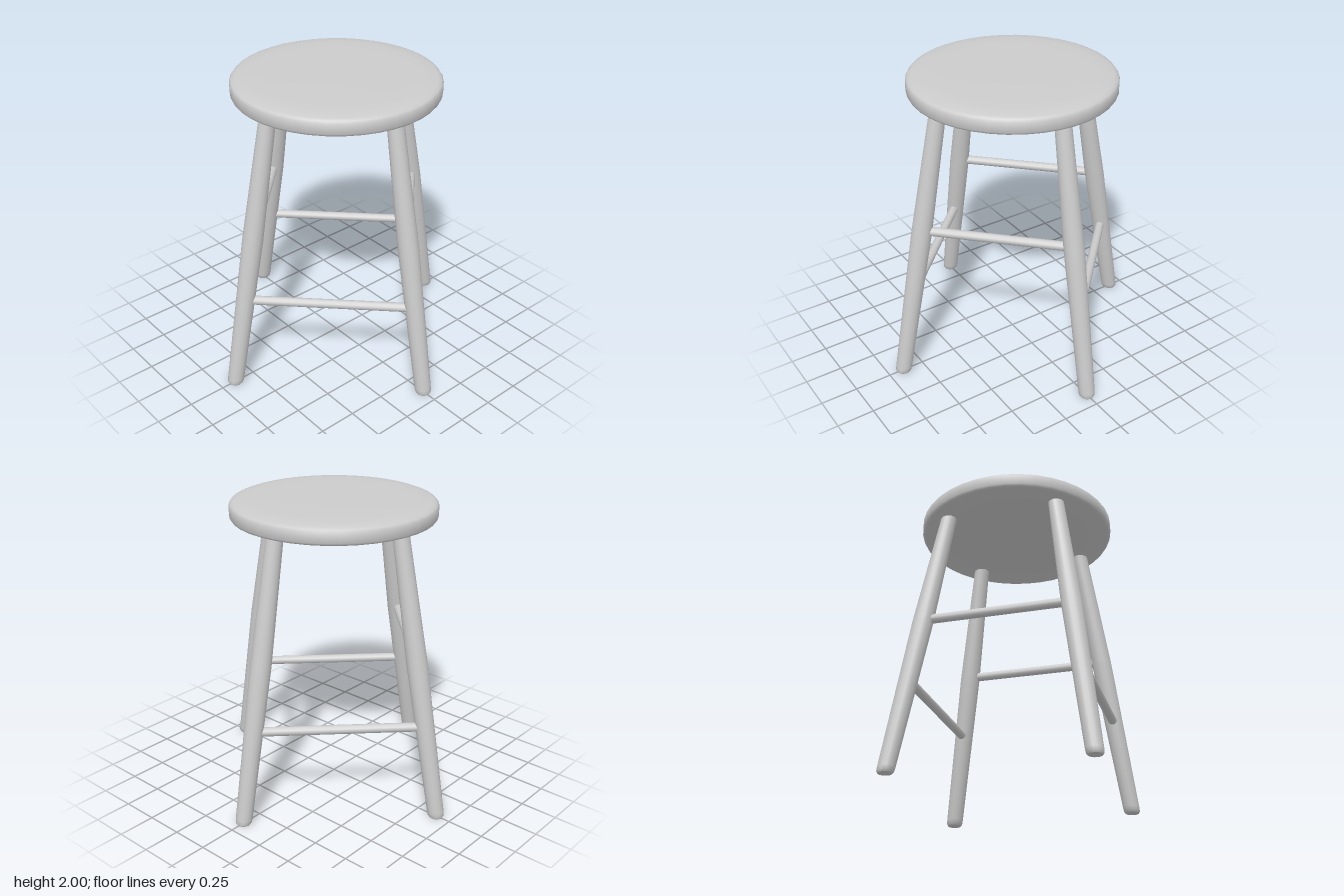
import * as THREE from 'three';
import { toCreasedNormals } from 'three/addons/utils/BufferGeometryUtils.js';

const material = new THREE.MeshStandardMaterial({ color: 0xcccccc });

// Leg axis: distance from the centre line at a given height
const FOOT = 0.895, TOP = 0.537, SEAT_Y = 1.88;
const slope = (TOP - FOOT) / SEAT_Y;
const legRadiusAt = (y) => FOOT + slope * y;

function lathe(points, segments) {
  const profile = points.map(([r, y]) => new THREE.Vector2(r, y));
  return new THREE.LatheGeometry(profile, segments);
}

function addMesh(parent, name, geometry) {
  const mesh = new THREE.Mesh(geometry, material);
  mesh.name = name;
  parent.add(mesh);
  return mesh;
}

export function createModel() {
  const stool = new THREE.Group();
  stool.name = 'stool';

  // Round seat with softened edges
  const seat = lathe([
    [0, SEAT_Y], [0.645, SEAT_Y], [0.66, 1.886], [0.668, 1.9],
    [0.668, 1.965], [0.658, 1.979], [0.635, 1.988], [0.55, 1.997], [0.45, 2], [0, 2],
  ], 40);
  addMesh(stool, 'seat', toCreasedNormals(seat, 0.7));

  // Splayed legs: turned profile, thickest in the middle, sheared outwards
  const legProfile = lathe([
    [0, 0], [0.045, 0], [0.053, 0.012], [0.055, 0.04],
    [0.068, 1.05], [0.053, SEAT_Y + 0.02], [0, SEAT_Y + 0.02],
  ], 16);
  legProfile.applyMatrix4(new THREE.Matrix4().set(
    1, slope, 0, FOOT,
    0, 1, 0, 0,
    0, 0, 1, 0,
    0, 0, 0, 1,
  ));
  const legGeometry = toCreasedNormals(legProfile, 0.7);
  ['leftLeg', 'backLeg', 'rightLeg', 'frontLeg'].forEach((name, i) => {
    addMesh(stool, name, legGeometry).rotation.y = i * Math.PI / 2;
  });

  // Rungs join neighbouring legs, alternating low and high
  const rungNames = ['backLeftRung', 'backRightRung', 'frontRightRung', 'frontLeftRung'];
  rungNames.forEach((name, i) => {
    const y = i % 2 ? 1.063 : 0.625;
    const reach = legRadiusAt(y);
    const rung = addMesh(stool, name,
      new THREE.CylinderGeometry(0.03, 0.03, reach * Math.SQRT2, 12));
    const middle = i * Math.PI / 2 + Math.PI / 4;
    const d = reach / Math.SQRT2;
    rung.position.set(d * Math.cos(middle), y, -d * Math.sin(middle));
    rung.rotation.set(Math.PI / 2, middle, 0, 'YXZ');
  });

  return stool;
}
